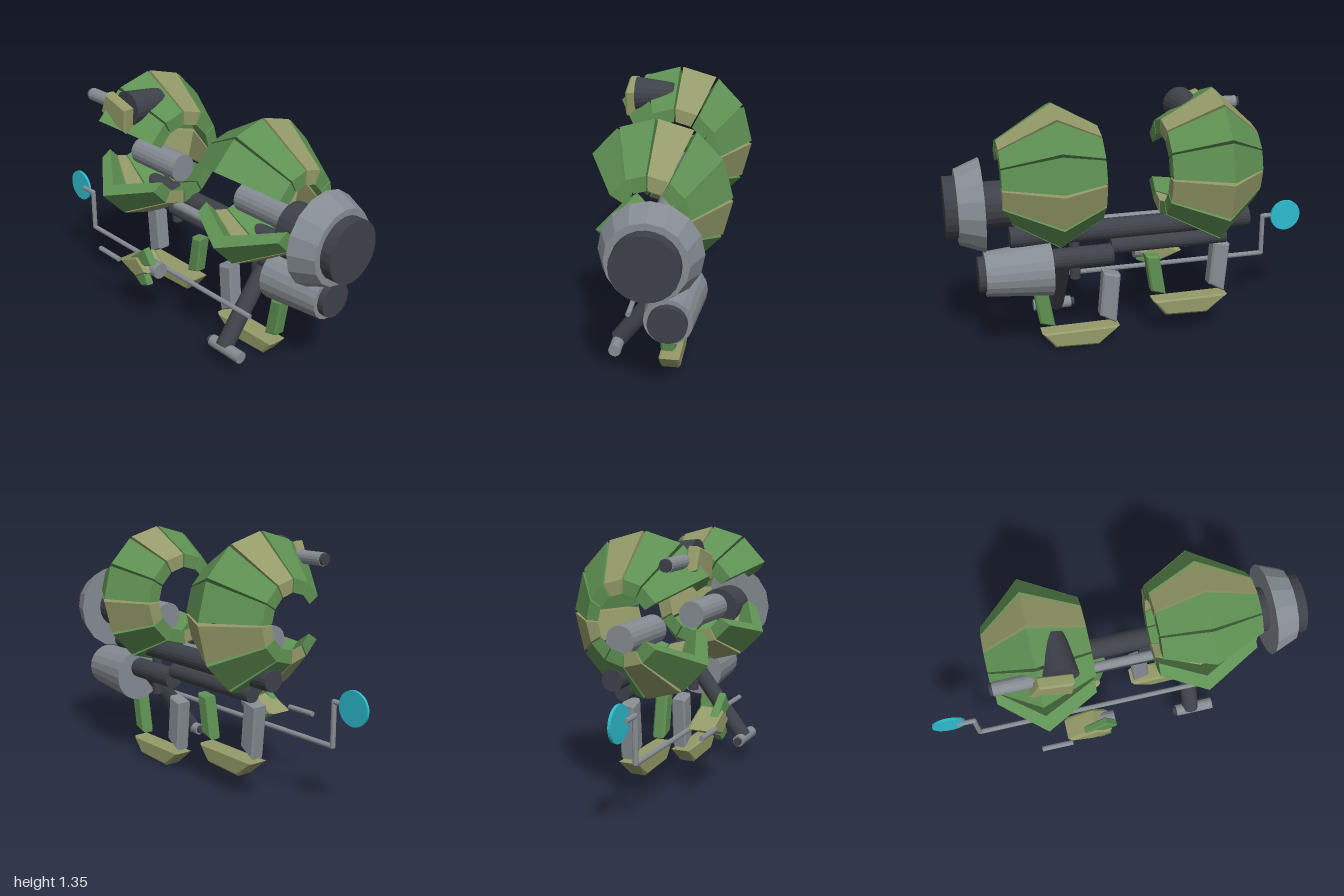
import * as THREE from 'three';

const mat = (name, color) => {
  const m = new THREE.MeshStandardMaterial({ color, flatShading: true });
  m.name = name;
  return m;
};

export function createModel() {
  const root = new THREE.Group();
  const green = mat('green', 0x5f9153);
  const olive = mat('olive', 0x949a68);
  const dark = mat('darkGrey', 0x3d4148);
  const grey = mat('grey', 0x858c92);
  const cyan = mat('cyan', 0x2cbccd);

  const add = (name, geo, material, parent = root) => {
    const m = new THREE.Mesh(geo, material);
    m.name = name;
    parent.add(m);
    return m;
  };

  // Cylinder or cone between two points
  const rod = (name, a, b, r0, r1, material, sides = 20) => {
    const p = new THREE.Vector3(...a), q = new THREE.Vector3(...b);
    const d = q.clone().sub(p);
    const m = add(name, new THREE.CylinderGeometry(r1, r0, d.length(), sides), material);
    m.position.copy(p).add(q).multiplyScalar(0.5);
    m.quaternion.setFromUnitVectors(new THREE.Vector3(0, 1, 0), d.normalize());
    return m;
  };

  // Bevelled plate with its outline in the xy plane, from z0 to z1
  const plate = (name, pts, z0, z1, material, bevel = 0.01) => {
    const c = pts.reduce((s, p) => [s[0] + p[0] / pts.length, s[1] + p[1] / pts.length], [0, 0]);
    const shape = new THREE.Shape(pts.map(([x, y]) => {
      const dx = c[0] - x, dy = c[1] - y, l = Math.hypot(dx, dy);
      return new THREE.Vector2(x + dx / l * bevel * 1.3, y + dy / l * bevel * 1.3);
    }));
    const geo = new THREE.ExtrudeGeometry(shape, {
      depth: z1 - z0 - 2 * bevel, bevelEnabled: true, bevelSize: bevel,
      bevelThickness: bevel, bevelSegments: 1,
    });
    geo.translate(0, 0, z0 + bevel);
    return add(name, geo, material);
  };

  // One curved armour segment: a chevron section at two angles.
  // section = [x, radius] points, outer left-peak-right then inner right-peak-left
  const segmentGeometry = (section, t0, t1) => {
    const pos = [];
    const at = ([x, r], t) => [x, 0.929 + 1.025 * r * Math.sin(t), 0.026 + 0.975 * r * Math.cos(t)];
    const A = section.map((p) => at(p, t0)), B = section.map((p) => at(p, t1));
    const quad = (a, b, c, d) => pos.push(...a, ...b, ...c, ...a, ...c, ...d);
    for (let i = 0; i < 6; i++) {
      const j = (i + 1) % 6;
      quad(A[i], A[j], B[j], B[i]);
    }
    quad(A[0], A[5], A[4], A[1]);
    quad(A[1], A[4], A[3], A[2]);
    quad(B[0], B[1], B[4], B[5]);
    quad(B[1], B[2], B[3], B[4]);
    const g = new THREE.BufferGeometry();
    g.setAttribute('position', new THREE.Float32BufferAttribute(pos, 3));
    g.computeVertexNormals();
    return g;
  };

  // Open armour rings: ten of twelve segments, every third one olive
  const ring = (name, section) => {
    const g = new THREE.Group();
    g.name = name;
    root.add(g);
    const step = Math.PI / 6, gap = 0.02;
    for (let i = 1; i <= 10; i++) {
      add('armourSegment', segmentGeometry(section, i * step + gap, (i + 1) * step - gap),
        i % 3 === 0 ? olive : green, g);
    }
  };
  ring('rightArmourRing', [[-0.625, 0.2], [-0.4, 0.4], [-0.125, 0.25],
    [-0.125, 0.18], [-0.4, 0.315], [-0.625, 0.135]]);
  ring('leftArmourRing', [[0.21, 0.24], [0.445, 0.368], [0.725, 0.2],
    [0.725, 0.13], [0.445, 0.29], [0.21, 0.17]]);

  // Drums inside the rings
  rod('rightDrum', [-0.555, 0.83, -0.03], [-0.2, 0.83, -0.03], 0.075, 0.075, grey);
  rod('leftDrum', [0.275, 0.83, -0.03], [0.65, 0.83, -0.03], 0.075, 0.075, grey);

  // Main engine
  rod('engineNeck', [0.625, 0.815, -0.01], [0.82, 0.815, -0.01], 0.117, 0.117, dark);
  rod('engineCowl', [0.815, 0.815, -0.005], [0.94, 0.815, -0.005], 0.24, 0.19, grey, 16);
  rod('engineNozzle', [0.93, 0.815, -0.005], [1.0, 0.815, -0.005], 0.157, 0.157, dark, 24);

  // Lower engine
  rod('lowerEngine', [0.49, 0.47, -0.08], [0.825, 0.47, -0.08], 0.145, 0.115, grey);
  rod('lowerEngineNozzle', [0.82, 0.47, -0.08], [0.86, 0.47, -0.08], 0.092, 0.092, dark);
  rod('lowerEngineShaft', [0.165, 0.512, -0.08], [0.5, 0.512, -0.08], 0.055, 0.055, dark);

  // Frame tubes
  rod('mainTube', [-0.59, 0.645, -0.055], [0.69, 0.645, -0.055], 0.055, 0.055, dark);
  rod('lowerTube', [-0.46, 0.553, -0.07], [0.17, 0.553, -0.07], 0.042, 0.042, dark);
  rod('pistonRod', [-0.155, 0.655, 0.053], [0.27, 0.655, 0.053], 0.026, 0.026, grey);
  rod('pistonTube', [-0.2, 0.612, 0.045], [0.28, 0.612, 0.045], 0.028, 0.028, dark);
  rod('rightPost', [-0.25, 0.5, -0.03], [-0.25, 0.63, -0.03], 0.03, 0.03, dark, 12);
  rod('leftPost', [0.357, 0.385, -0.05], [0.357, 0.64, -0.05], 0.028, 0.028, dark, 12);

  // Angled support leg with its foot bar
  rod('supportLeg', [0.42, 0.48, -0.04], [0.42, 0.12, 0.235], 0.046, 0.046, dark);
  rod('supportFoot', [0.335, 0.117, 0.235], [0.545, 0.117, 0.235], 0.032, 0.032, grey, 16);
  rod('supportFootTip', [0.315, 0.117, 0.235], [0.34, 0.117, 0.235], 0.022, 0.022, dark, 16);

  // Two skids, each with a grey strut and a green strut
  for (const [side, ox, oy] of [['left', 0, 0], ['right', -0.608, 0.115]]) {
    const skid = [
      plate(side + 'Skid', [[0.125, 0.088], [0.23, 0], [0.485, 0.012], [0.545, 0.088]], -0.09, 0.015, olive, 0.012),
      plate(side + 'GreyStrut', [[0.122, 0.385], [0.145, 0.105], [0.225, 0.15], [0.203, 0.405]], -0.08, 0.0, grey),
      plate(side + 'GreenStrut', [[0.515, 0.35], [0.475, 0.12], [0.545, 0.14], [0.58, 0.357]], -0.07, 0.0, green),
    ];
    skid.forEach((m) => m.position.set(ox, oy, 0));
  }

  // Turret on the right ring
  rod('turretBody', [-0.295, 1.21, 0.05], [-0.295, 1.21, 0.255], 0.065, 0.09, dark);
  plate('turretShield', [[-0.45, 1.17], [-0.25, 1.1], [-0.235, 1.225], [-0.405, 1.275]], 0.25, 0.312, olive);
  rod('turretBarrel', [-0.61, 1.205, 0.24], [-0.38, 1.205, 0.24], 0.034, 0.034, grey, 16);
  rod('turretBarrelTip', [-0.625, 1.205, 0.24], [-0.605, 1.205, 0.24], 0.03, 0.03, dark, 16);

  // Small pod with fins, a thruster and a thin barrel
  plate('podBody', [[-0.31, 0.365], [-0.165, 0.305], [-0.07, 0.375], [-0.15, 0.445]], 0.205, 0.34, olive, 0.015);
  plate('podUpperFin', [[-0.22, 0.41], [-0.1, 0.4], [-0.04, 0.43], [-0.095, 0.508]], 0.29, 0.33, green, 0.006);
  plate('podLowerFin', [[-0.2, 0.32], [-0.13, 0.27], [-0.07, 0.3], [-0.1, 0.36]], 0.29, 0.33, green, 0.006);
  rod('podThruster', [-0.14, 0.375, 0.267], [-0.04, 0.375, 0.267], 0.043, 0.043, grey, 16);
  rod('podBarrel', [-0.46, 0.375, 0.352], [-0.29, 0.375, 0.352], 0.014, 0.014, grey, 10);

  // Sensor dish on a cranked rod
  const bar = [[-0.87, 0.547], [-0.778, 0.547], [-0.778, 0.322], [0.53, 0.322]];
  for (let i = 0; i < 3; i++) {
    rod('sensorRod', [...bar[i], 0.165], [...bar[i + 1], 0.165], 0.0135, 0.0135, grey, 10);
    if (i) add('sensorRodJoint', new THREE.SphereGeometry(0.0135, 10, 8), grey).position.set(...bar[i], 0.165);
  }
  rod('sensorDish', [-0.912, 0.545, 0.147], [-0.912, 0.545, 0.161], 0.088, 0.088, cyan, 32);

  return root;
}
